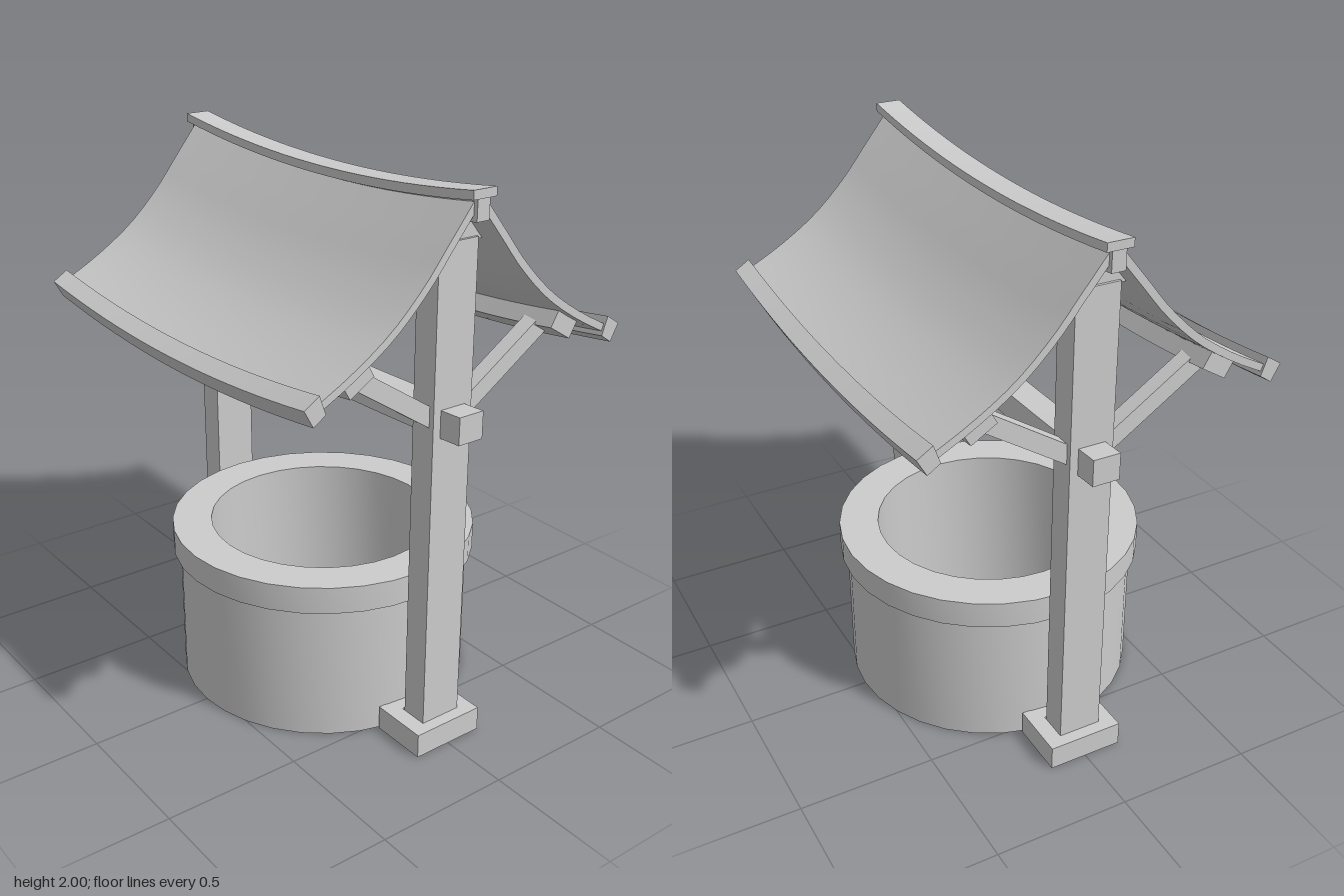
import * as THREE from 'three';
import { toCreasedNormals } from 'three/addons/utils/BufferGeometryUtils.js';

const material = new THREE.MeshStandardMaterial({ color: 0xcccccc, side: THREE.DoubleSide });

function add(parent, name, geometry) {
  const mesh = new THREE.Mesh(geometry, material);
  mesh.name = name;
  parent.add(mesh);
  return mesh;
}

const shapeOf = (points, side = 1) =>
  new THREE.Shape(points.map(([x, y]) => new THREE.Vector2(x * side, y)));

// Cross-section in x/y run along z, centred on z = 0, its middle hanging down by sag
function run(points, halfLength, sag = 0, side = 1) {
  const geo = new THREE.ExtrudeGeometry(shapeOf(points, side), {
    depth: 2 * halfLength, steps: sag ? 20 : 1, bevelEnabled: false,
  });
  geo.translate(0, 0, -halfLength);
  const p = geo.attributes.position;
  for (let i = 0; i < p.count; i++) {
    const t = p.getZ(i) / 0.8;
    p.setY(i, p.getY(i) - sag * (1 - t * t));
  }
  return toCreasedNormals(geo, 0.5);
}

const rect = (x, y0, y1) => [[-x, y0], [x, y0], [x, y1], [-x, y1]];

export function createModel() {
  const model = new THREE.Group();
  model.name = 'well';
  const SAG = 0.055;

  // Stone ring with overhanging rim, open through the middle
  const ring = [[0.42, 0], [0.54, 0], [0.54, 0.51], [0.565, 0.51], [0.565, 0.61], [0.42, 0.61], [0.42, 0]]
    .map(([x, y]) => new THREE.Vector2(x, y));
  add(model, 'wellRing', toCreasedNormals(new THREE.LatheGeometry(ring, 32), 0.5));

  // Post, hollow foot, gable block and braces at each end
  for (const end of [1, -1]) {
    const frame = new THREE.Group();
    frame.name = end > 0 ? 'frontFrame' : 'backFrame';
    frame.position.z = end * 0.645;
    model.add(frame);

    add(frame, 'post', run(rect(0.08, 0.04, 1.82), 0.05));
    add(frame, 'gableBlock', run([[-0.12, 1.81], [0.12, 1.81], [0.03, 1.92], [-0.03, 1.92]], 0.04));

    const foot = shapeOf(rect(0.14, -0.107, 0.107));
    foot.holes.push(new THREE.Path(rect(0.08, -0.05, 0.05).map(([x, y]) => new THREE.Vector2(x, y))));
    const footGeo = new THREE.ExtrudeGeometry(foot, { depth: 0.09, bevelEnabled: false });
    footGeo.rotateX(-Math.PI / 2);
    add(frame, 'foot', footGeo).position.z = -end * 0.012;

    for (const side of [1, -1]) {
      add(frame, side > 0 ? 'leftBrace' : 'rightBrace',
        run([[0.07, 1.205], [0.42, 1.435], [0.39, 1.49], [0.07, 1.28]], 0.03, 0, side));
    }
  }

  // Sagging cross beam between the posts
  add(model, 'crossBeam', run(rect(0.05, 1.18, 1.277), 0.785, 0.022));

  // Ridge beam with a wider cap
  add(model, 'ridgeBeam', run(rect(0.025, 1.9, 1.975), 0.795, SAG));
  add(model, 'ridgeCap', run(rect(0.047, 1.97, 2), 0.8, SAG));

  // Curved roof slope seen end on, thickened downwards
  const curve = new THREE.SplineCurve([
    [0.015, 1.975], [0.12, 1.845], [0.21, 1.735], [0.33, 1.62], [0.47, 1.525], [0.61, 1.45],
  ].map(([x, y]) => new THREE.Vector2(x, y)));
  const top = [], under = [];
  for (let i = 0; i <= 14; i++) {
    const p = curve.getPoint(i / 14), t = curve.getTangent(i / 14);
    top.push([p.x, p.y]);
    under.unshift([p.x + t.y * 0.026, p.y - t.x * 0.026]);
  }
  const slope = [...top, ...under];

  for (const side of [1, -1]) {
    const label = side > 0 ? 'left' : 'right';
    add(model, label + 'RoofSlope', run(slope, 0.78, SAG, side));
    add(model, label + 'EaveBoard',
      run([[0.6, 1.485], [0.655, 1.45], [0.622, 1.39], [0.577, 1.42]], 0.788, SAG, side));
    add(model, label + 'Purlin',
      run([[0.405, 1.545], [0.495, 1.49], [0.46, 1.43], [0.37, 1.485]], 0.75, SAG, side));
  }

  return model;
}
